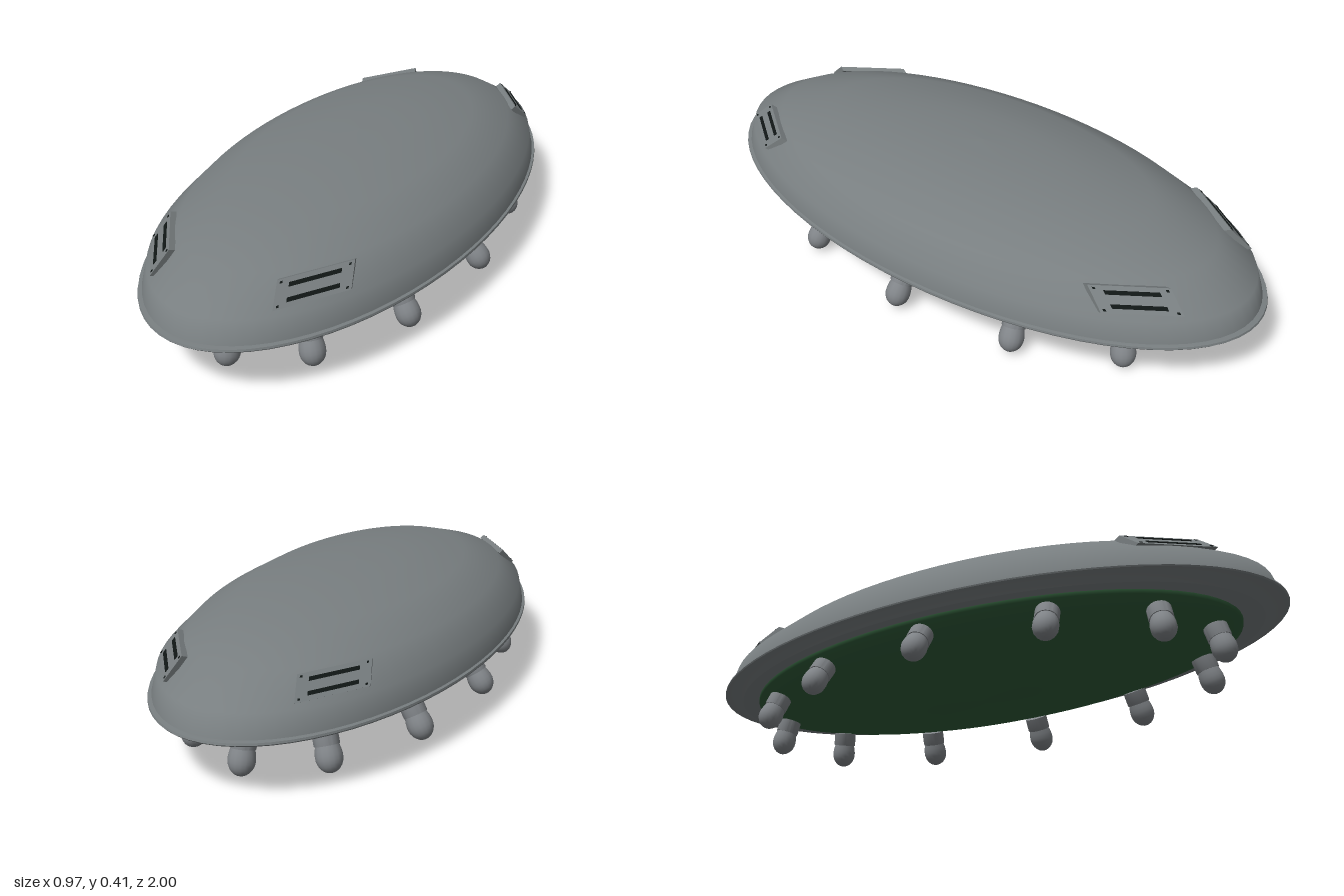
import * as THREE from 'three';
import { toCreasedNormals } from 'three/addons/utils/BufferGeometryUtils.js';

const STRETCH = 1 / 0.487; // oval plan: z is stretched relative to x

const paint = (name, color) => {
  const m = new THREE.MeshStandardMaterial({ color });
  m.name = name;
  return m;
};

const lathe = (points, segments, crease) => {
  const g = new THREE.LatheGeometry(points.map(([r, y]) => new THREE.Vector2(r, y)), segments);
  return crease ? toCreasedNormals(g, crease) : g;
};

export function createModel() {
  const model = new THREE.Group();
  model.name = 'saucer';
  const hullGrey = paint('hull grey', 0x787e80);
  const bellyGreen = paint('belly green', 0x2f5a38);
  const lampGrey = paint('lamp grey', 0x808488);
  const slotBlack = paint('slot black', 0x101615);

  const add = (parent, name, geometry, material) => {
    const mesh = new THREE.Mesh(geometry, material);
    mesh.name = name;
    parent.add(mesh);
    return mesh;
  };

  // Oval hull pieces, profiles listed from bottom to top
  const oval = (name, points, material, crease) =>
    add(model, name, lathe(points, 72, crease).scale(1, 1, STRETCH), material);
  oval('belly', [[0, 0.034], [0.09, 0.038], [0.19, 0.049], [0.31, 0.085], [0.385, 0.118],
    [0.417, 0.137], [0.418, 0.152]], bellyGreen);
  oval('rim', [[0.4, 0.15], [0.45, 0.15], [0.473, 0.17], [0.485, 0.174], [0.487, 0.178],
    [0.486, 0.184], [0.479, 0.186], [0.47, 0.187]], hullGrey, 0.4);
  oval('dome', [[0.479, 0.184], [0.467, 0.25], [0.402, 0.32], [0.297, 0.378], [0.145, 0.4],
    [0.07, 0.405], [0, 0.407]], hullGrey);

  // Ring of twelve lamps leaning outward under the belly
  const bulbProfile = [];
  for (let i = 0; i <= 8; i++) {
    const a = (i / 8) * 1.9 - Math.PI / 2;
    bulbProfile.push([0.039 * Math.cos(a), (a < 0 ? 0.045 : 0.06) * Math.sin(a)]);
  }
  bulbProfile[0][0] = 0;
  bulbProfile.push([0.033, 0.034]);
  const bulb = lathe(bulbProfile, 16);
  const socket = lathe([[0.03, 0.032], [0.036, 0.032], [0.037, 0.036], [0.037, 0.075], [0, 0.077]], 20, 0.6);
  const down = new THREE.Vector3(0, -1, 0);
  for (let i = 0; i < 12; i++) {
    const a = (i / 12) * Math.PI * 2;
    const c = Math.cos(a), s = Math.sin(a);
    const lamp = new THREE.Group();
    lamp.name = 'lamp';
    add(lamp, 'bulb', bulb, lampGrey);
    add(lamp, 'socket', socket, lampGrey);
    lamp.position.set(0.422 * c, 0.045 + 0.008 * c * c, 0.8 * s);
    lamp.quaternion.setFromUnitVectors(down, new THREE.Vector3(0.65 * c, -1, 0.3 * s).normalize());
    model.add(lamp);
  }

  // Four slotted vent panels on the shoulders, stretched along with the hull
  for (const sx of [1, -1]) for (const sz of [1, -1]) {
    const vent = new THREE.Group();
    vent.name = 'vent';
    const azimuth = Math.atan2(sx * 0.58, sz * 0.82);
    const place = new THREE.Matrix4().makeScale(1, 1, STRETCH)
      .multiply(new THREE.Matrix4().makeTranslation(sx * 0.247, 0.29, sz * 0.357))
      .multiply(new THREE.Matrix4().makeRotationY(azimuth))
      .multiply(new THREE.Matrix4().makeRotationX(-0.61));
    const plate = (name, w, h, d, x, y, z, material) =>
      add(vent, name, new THREE.BoxGeometry(w, h, d).translate(x, y, z).applyMatrix4(place), material);
    plate('ventPanel', 0.16, 0.066, 0.014, 0, 0, -0.003, hullGrey);
    for (const y of [-0.0165, 0.0165]) plate('ventSlot', 0.108, 0.01, 0.002, 0, y, 0.0045, slotBlack);
    for (const x of [-0.071, 0.071]) for (const y of [-0.026, 0.026])
      plate('ventBolt', 0.005, 0.005, 0.002, x, y, 0.0045, slotBlack);
    model.add(vent);
  }
  return model;
}
